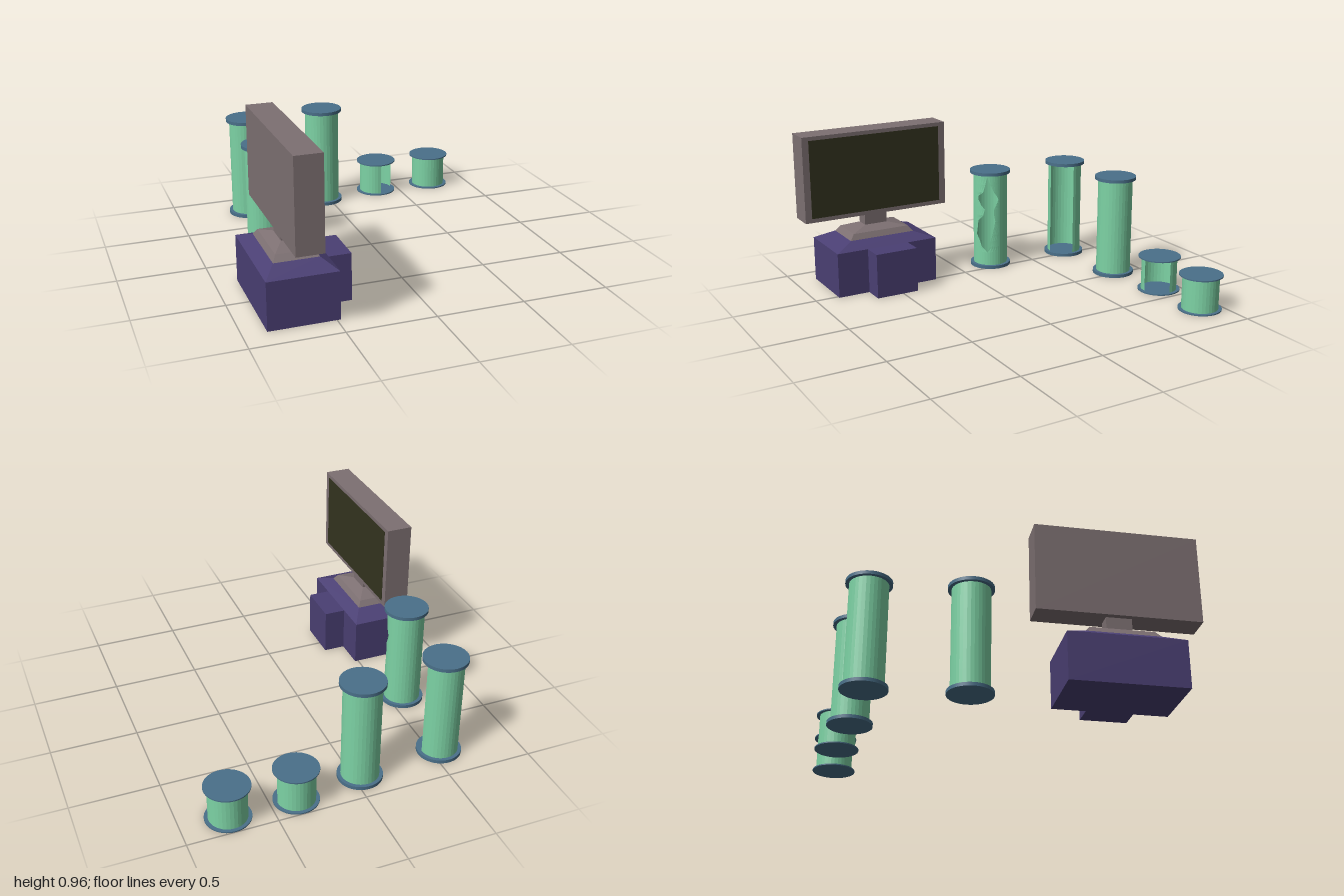
import * as THREE from 'three';

const mat = (color, extra = {}) => new THREE.MeshStandardMaterial({ color, ...extra });
const purple = mat(0x4a3f73);
const grey = mat(0x7d7072);
const dark = mat(0x33331f);
const blue = mat(0x4a708a);
const glass = mat(0x7dd3a5, { side: THREE.DoubleSide, flatShading: true });

function add(parent, name, geometry, material) {
  const mesh = new THREE.Mesh(geometry, material);
  mesh.name = name;
  parent.add(mesh);
  return mesh;
}

// Box between two limits on each axis; top = [x0, x1, z0, z1] tapers the upper face
function block([x0, x1], [y0, y1], [z0, z1], top = [x0, x1, z0, z1]) {
  const g = new THREE.BoxGeometry(1, 1, 1);
  const p = g.attributes.position;
  for (let i = 0; i < p.count; i++) {
    const up = p.getY(i) > 0;
    const [a, b, c, d] = up ? top : [x0, x1, z0, z1];
    p.setXYZ(i, p.getX(i) > 0 ? b : a, up ? y1 : y0, p.getZ(i) > 0 ? d : c);
  }
  g.computeVertexNormals();
  return g;
}

// Broken glass: rows of [y, left angle, right angle] in degrees bound the hole
const breakRows = [
  [0.02, 50, 50], [0.105, 50, 50], [0.14, 30, 59], [0.18, 22, 62], [0.22, 8, 68],
  [0.27, 13, 74], [0.31, 16, 78], [0.35, 36, 74], [0.39, 42, 74], [0.41, 30, 80],
  [0.45, 16, 90], [0.475, 18, 84], [0.5, 36, 74], [0.55, 44, 62], [0.6, 50, 50], [0.61, 50, 50],
];

function brokenTube(r) {
  const side = 5, mid = 24, n = side * 2 + mid;
  const g = new THREE.PlaneGeometry(1, 1, n, breakRows.length - 1);
  const p = g.attributes.position;
  for (let i = 0; i < p.count; i++) {
    const [y, left, right] = breakRows[breakRows.length - 1 - Math.floor(i / (n + 1))];
    const c = i % (n + 1);
    let deg;
    if (c <= side) deg = THREE.MathUtils.lerp(right, 96, c / side);
    else if (c <= side + mid) deg = THREE.MathUtils.lerp(96, 360, (c - side) / mid);
    else deg = 360 + left * (c - side - mid) / side;
    const t = THREE.MathUtils.degToRad(deg);
    p.setXYZ(i, r * Math.sin(t), y, r * Math.cos(t));
  }
  g.computeVertexNormals();
  return g;
}

// Glass tank with a disc at each end
function tank(name, x, z, height, cap, kind) {
  const group = new THREE.Group();
  group.name = name;
  group.position.set(x, 0, z);
  const R = 0.127, r = 0.107;
  for (const [part, y] of [['bottomCap', cap / 2], ['topCap', height - cap / 2]]) {
    add(group, part, new THREE.CylinderGeometry(R, R, cap, 48), blue).position.y = y;
  }
  if (kind === 'broken') {
    add(group, 'brokenGlass', brokenTube(r), glass);
  } else {
    const open = kind === 'open';
    const start = open ? Math.PI / 2 : 0;
    const sweep = open ? Math.PI * 1.5 : Math.PI * 2;
    const g = new THREE.CylinderGeometry(r, r, height - 2 * cap, open ? 24 : 32, 1, true, start, sweep);
    add(group, open ? 'openGlass' : 'glass', g, glass).position.y = height / 2;
  }
  return group;
}

export function createModel() {
  const model = new THREE.Group();

  // Console under the screen
  const desk = new THREE.Group();
  desk.name = 'console';
  add(desk, 'consoleBase', block([-0.87, -0.48], [0, 0.272], [0.217, 0.86]), purple);
  add(desk, 'consoleStep', block([-0.48, -0.353], [0, 0.272], [0.405, 0.667]), purple);
  add(desk, 'consoleSlope', block([-0.87, -0.48], [0.272, 0.316], [0.217, 0.86],
    [-0.8, -0.55, 0.335, 0.745]), purple);

  // Stepped foot and neck
  add(desk, 'footLower', block([-0.8, -0.55], [0.316, 0.35], [0.335, 0.745],
    [-0.78, -0.57, 0.36, 0.717]), grey);
  add(desk, 'footUpper', block([-0.78, -0.57], [0.35, 0.375], [0.36, 0.717],
    [-0.72, -0.635, 0.465, 0.615]), grey);
  add(desk, 'neck', block([-0.72, -0.637], [0.37, 0.45], [0.47, 0.613]), grey);

  // Screen facing +x
  add(desk, 'screenCase', block([-0.753, -0.602], [0.447, 0.963], [0.083, 1]), grey);
  add(desk, 'screenPanel', block([-0.61, -0.6], [0.472, 0.94], [0.125, 0.96]), dark);
  model.add(desk);

  // Five tanks
  model.add(
    tank('brokenTank', -0.585, -0.232, 0.63, 0.02, 'broken'),
    tank('openTallTank', -0.549, -0.777, 0.63, 0.02, 'open'),
    tank('closedTallTank', -0.042, -0.819, 0.63, 0.02, 'closed'),
    tank('openShortTank', 0.354, -0.873, 0.213, 0.007, 'open'),
    tank('closedShortTank', 0.736, -0.873, 0.213, 0.007, 'closed'),
  );
  return model;
}
